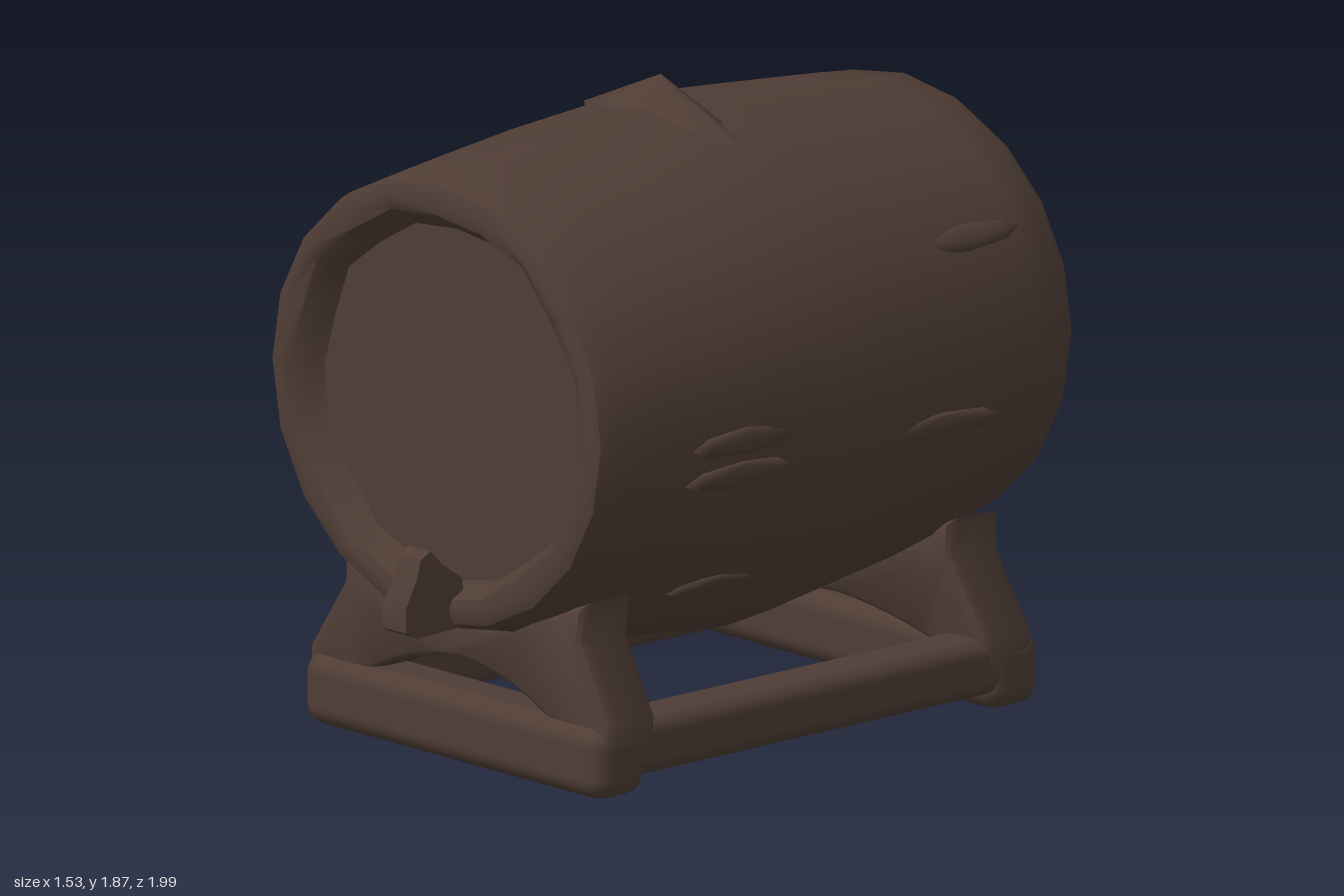
import * as THREE from 'three';
import { toCreasedNormals } from 'three/addons/utils/BufferGeometryUtils.js';
import { RoundedBoxGeometry } from 'three/addons/geometries/RoundedBoxGeometry.js';

export function createModel() {
  const model = new THREE.Group();
  const wood = new THREE.MeshStandardMaterial({ color: 0x4f3d35 });
  wood.name = 'dark wood';

  function add(name, geometry, parent = model) {
    const mesh = new THREE.Mesh(geometry, wood);
    mesh.name = name;
    parent.add(mesh);
    return mesh;
  }
  // Applies a rule to every vertex
  function warp(geometry, rule) {
    const p = geometry.attributes.position, v = new THREE.Vector3();
    for (let i = 0; i < p.count; i++) {
      v.fromBufferAttribute(p, i);
      rule(v);
      p.setXYZ(i, v.x, v.y, v.z);
    }
    return geometry;
  }
  const vectors = (list) => list.map(([x, y]) => new THREE.Vector2(x, y));
  // The barrel's centre rises and its section flattens toward the ends
  const axisY = (z) => 1.027 + 0.05 * z * z;
  const flatten = (z) => 1 - 0.08 * Math.abs(z);

  // Bulging barrel with a rolled rim and a sunken head at each end
  const profile = vectors([
    [0, -0.76], [0.3, -0.77], [0.53, -0.81], [0.555, -0.93], [0.6, -0.985], [0.65, -0.993],
    [0.688, -0.95], [0.708, -0.82], [0.742, -0.5], [0.76, -0.22], [0.765, -0.05], [0.75, 0.34],
    [0.725, 0.6], [0.7, 0.79], [0.685, 0.835], [0.645, 0.85], [0.6, 0.84], [0.565, 0.79],
    [0.545, 0.76], [0.3, 0.76], [0, 0.76],
  ]);
  const barrel = new THREE.LatheGeometry(profile, 20).rotateX(Math.PI / 2);
  warp(barrel, (v) => {
    const a = Math.atan2(v.y, v.x), r = Math.hypot(v.x, v.y);
    // hewn unevenness on the inner lip
    const k = r > 0.54 && r < 0.62 ? 1 + 0.025 * Math.sin(Math.round(a * 20) * 2.4) : 1;
    v.set(v.x * k, v.y * k * flatten(v.z) + axisY(v.z), v.z);
  });
  add('barrel', toCreasedNormals(barrel, 0.75));

  // Pointed bung on top
  const bung = new THREE.ConeGeometry(1, 0.14, 8, 2);
  bung.scale(0.32, 1, 0.11).translate(0, 1.8, -0.02);
  add('bung', bung);

  // Tap at the bottom of the front head, narrowing upward and forward
  const tapShape = new THREE.Shape(vectors([
    [0.8, 0.42], [0.96, 0.41], [1, 0.43], [1, 0.5], [0.96, 0.58], [0.945, 0.635], [0.91, 0.655],
    [0.87, 0.61], [0.8, 0.56],
  ]));
  const tap = new THREE.ExtrudeGeometry(tapShape, { depth: 0.15, bevelEnabled: false });
  tap.translate(0, 0, -0.075).rotateY(-Math.PI / 2);
  warp(tap, (v) => {
    const up = (v.y - 0.41) / 0.245, forward = (v.z - 0.8) / 0.2;
    v.x = v.x * (1 - 0.25 * up) * (1 - 0.3 * forward) + 0.01 * up;
  });
  add('tap', toCreasedNormals(tap, 0.6));

  // Raised splinters on the staves: angle, z, length
  const splinters = new THREE.Group();
  splinters.name = 'splinters';
  model.add(splinters);
  const chips = [
    [-0.03, 0.33, 0.42], [-0.17, 0.35, 0.42], [-0.17, -0.43, 0.42], [0.55, -0.62, 0.4],
    [Math.PI + 0.1, 0.3, 0.3], [Math.PI - 0.5, -0.5, 0.35], [2.1, -0.15, 0.3], [-0.72, 0.3, 0.35],
  ];
  for (const [angle, z, length] of chips) {
    const r = 0.754 - 0.075 * z * z;
    const chip = add('splinter', new THREE.OctahedronGeometry(1, 1), splinters);
    chip.scale.set(0.016, 0.04, length / 2);
    chip.position.set(Math.cos(angle) * r, axisY(z) + Math.sin(angle) * r * flatten(z), z);
    chip.rotation.z = angle;
  }

  // Stand: two crossbars, two side rails
  const stand = new THREE.Group();
  stand.name = 'stand';
  model.add(stand);
  for (const [name, z] of [['frontCrossbar', 0.69], ['rearCrossbar', -0.81]]) {
    add(name, new RoundedBoxGeometry(1.25, 0.21, 0.2, 3, 0.06), stand).position.set(0, 0.108, z);
  }
  for (const side of [1, -1]) {
    const rail = add(side > 0 ? 'leftRail' : 'rightRail',
      new RoundedBoxGeometry(0.18, 0.17, 1.54, 3, 0.05), stand);
    rail.position.set(side * 0.53, 0.135, -0.06);
  }

  // Cradles: arched plates that carry the barrel, the rear arch being lower
  function cradleShape(arch) {
    const s = new THREE.Shape();
    s.moveTo(-0.6, 0.12);
    s.lineTo(-0.43, 0.12);
    s.lineTo(-0.42, 0.19);
    s.quadraticCurveTo(-0.22, arch - 0.01, 0, arch);
    s.quadraticCurveTo(0.22, arch - 0.01, 0.42, 0.19);
    s.lineTo(0.43, 0.12);
    s.lineTo(0.6, 0.12);
    s.lineTo(0.605, 0.22);
    s.lineTo(0.475, 0.43);
    s.lineTo(0.485, 0.53);
    s.quadraticCurveTo(0.3, 0.43, 0, 0.43);
    s.quadraticCurveTo(-0.3, 0.43, -0.485, 0.53);
    s.lineTo(-0.475, 0.43);
    s.lineTo(-0.605, 0.22);
    return s;
  }
  for (const [name, low, high, arch] of [
    ['frontCradle', 0.665, 0.64, 0.32], ['rearCradle', -0.78, -0.76, 0.26],
  ]) {
    const cradle = new THREE.ExtrudeGeometry(cradleShape(arch), {
      depth: 0.12, bevelThickness: 0.035, bevelSize: 0.02, bevelSegments: 2, curveSegments: 6,
    });
    cradle.translate(0, 0, -0.06);
    warp(cradle, (v) => { v.z += THREE.MathUtils.lerp(low, high, (v.y - 0.12) / 0.42); });
    add(name, toCreasedNormals(cradle, 0.8), stand);
  }
  return model;
}
